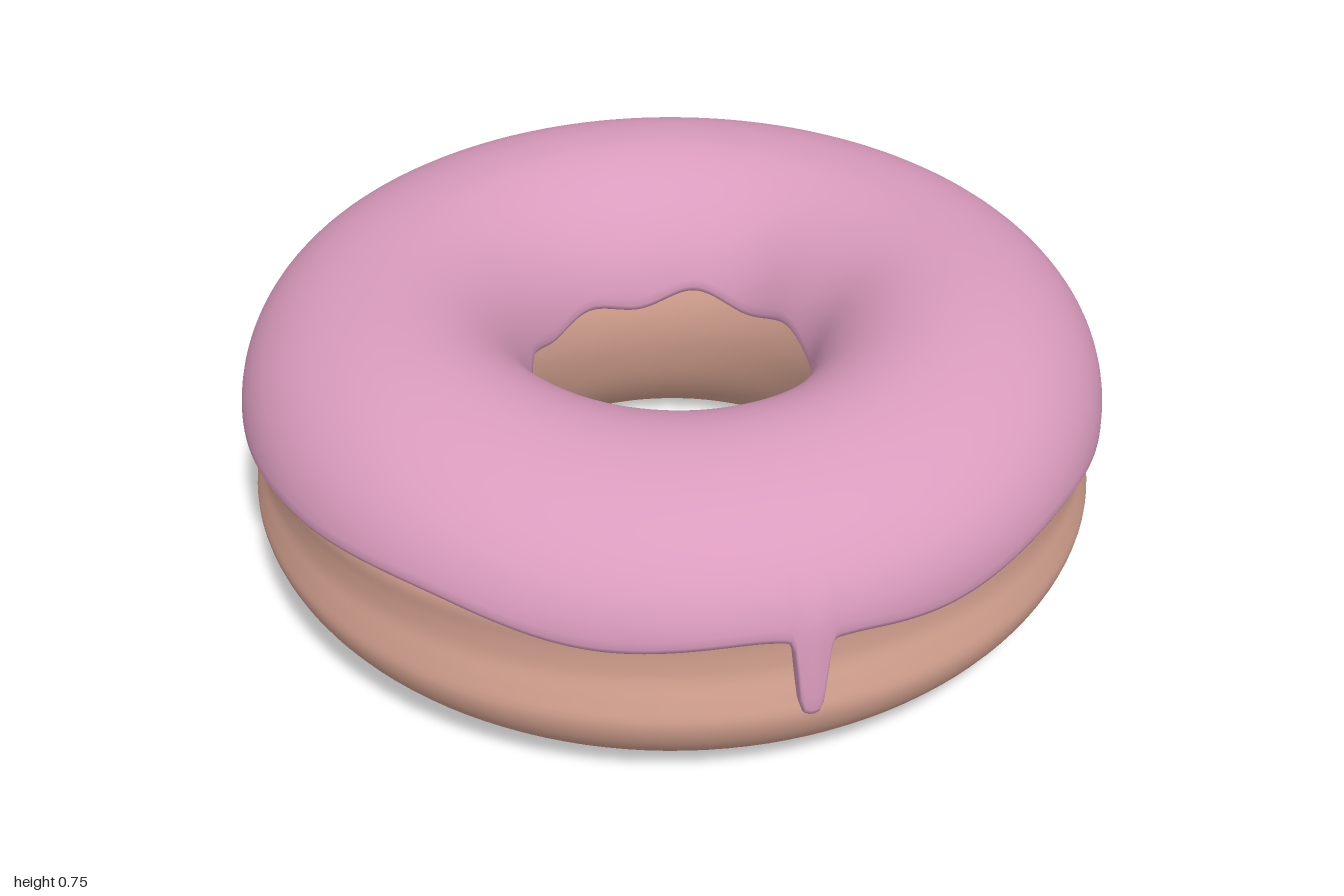
import * as THREE from 'three';

const RAD = Math.PI / 180;
const COLUMNS = 720, ARC = 22;

// Smooth periodic interpolation of evenly spaced values around the ring
function around(values, theta) {
  const n = values.length;
  const f = ((theta / (2 * Math.PI)) % 1 + 1) % 1 * n;
  const i = Math.floor(f), t = f - i;
  const [a, b, c, d] = [-1, 0, 1, 2].map(k => values[(i + k + n) % n]);
  return b + 0.5 * t * (c - a + t * (2 * a - 5 * b + 4 * c - d + t * (3 * (b - c) + d - a)));
}

const CREST = [0.725, 0.728, 0.745, 0.735, 0.73, 0.735, 0.75, 0.752];
const EDGE = [0.425, 0.44, 0.405, 0.44, 0.415, 0.455, 0.44, 0.46,
  0.44, 0.45, 0.43, 0.45, 0.47, 0.44, 0.46, 0.475];
const INNER_EDGE = [0.44, 0.47, 0.43, 0.46, 0.45, 0.42, 0.46, 0.43, 0.47, 0.42, 0.45, 0.43, 0.46, 0.42, 0.45, 0.43];
const HOLE = [0.318, 0.325, 0.332, 0.322, 0.318, 0.33, 0.325, 0.335, 0.328, 0.335, 0.33, 0.322, 0.32, 0.325, 0.332, 0.325];

// Runs of icing: angle, lowest point, half width in radians, extra thickness
const DRIPS = [
  { angle: 26.3 * RAD, tip: 0.24, width: 0.034, bulge: 0.012 },
  { angle: 106 * RAD, tip: 0.34, width: 0.055, bulge: 0.004 },
  { angle: 118.2 * RAD, tip: 0.21, width: 0.044, bulge: 0.012 },
  { angle: 233.6 * RAD, tip: 0.24, width: 0.085, bulge: 0.03 },
];

function icingGeometry() {
  const positions = [], index = [];
  let rows = 0;
  for (let j = 0; j < COLUMNS; j++) {
    const theta = j / COLUMNS * 2 * Math.PI;
    const top = around(CREST, theta);
    const hole = around(HOLE, theta);
    const inner = around(INNER_EDGE, theta);

    // Lower outer edge, pulled down at each drip
    let edge = around(EDGE, theta);
    let drip = DRIPS[0], offset = Infinity;
    for (const d of DRIPS) {
      const o = theta - d.angle;
      if (Math.abs(o) < Math.abs(offset)) { offset = o; drip = d; }
      edge += (d.tip - edge) * Math.exp(-((o / d.width) ** 4));
      edge -= 0.015 * Math.exp(-((o / (2.2 * d.width)) ** 2)) * (1 - Math.exp(-((o / d.width) ** 4)));
    }
    const near = Math.exp(-((offset / drip.width) ** 2));

    const outerRadius = y => {
      const f = THREE.MathUtils.clamp((y - 0.45) / (top - 0.45), 0, 1);
      const low = THREE.MathUtils.smoothstep(0.6 - y, 0, 0.3);
      return 0.64 + 0.355 * Math.sqrt(1 - f * f) + drip.bulge * near * low;
    };
    const innerRadius = y => {
      const f = THREE.MathUtils.clamp((y - 0.42) / (top - 0.42), 0, 1);
      return 0.64 - (0.64 - hole) * Math.sqrt(1 - f * f);
    };

    // Cross-section: outer lip, over the crest, down to the inner lip
    const section = [];
    const ro = outerRadius(edge + 0.02), ri = innerRadius(inner + 0.02);
    section.push([ro - 0.05, edge + 0.012], [ro - 0.02, edge], [ro - 0.006, edge + 0.006]);
    for (let k = 0; k <= ARC; k++) {
      const y = edge + 0.02 + (top - edge - 0.02) * Math.sin(k / ARC * Math.PI / 2);
      section.push([outerRadius(y), y]);
    }
    for (let k = ARC - 1; k >= 0; k--) {
      const y = inner + 0.02 + (top - inner - 0.02) * Math.sin(k / ARC * Math.PI / 2);
      section.push([innerRadius(y), y]);
    }
    section.push([ri + 0.006, inner + 0.006], [ri + 0.02, inner], [ri + 0.06, inner + 0.012]);
    rows = section.length;

    // Drips swell sideways toward their tips
    section.forEach(([r, y], i) => {
      const low = i < rows / 2 ? THREE.MathUtils.clamp((0.4 - y) / (0.4 - drip.tip), 0, 1) : 0;
      const a = theta + (low > 0 ? offset * 0.3 * low * low : 0);
      positions.push(r * Math.sin(a), y, r * Math.cos(a));
    });
  }
  for (let j = 0; j < COLUMNS; j++) {
    const next = (j + 1) % COLUMNS;
    for (let i = 0; i < rows - 1; i++) {
      const a = j * rows + i, b = next * rows + i;
      index.push(a, b, a + 1, b, b + 1, a + 1);
    }
  }
  const geometry = new THREE.BufferGeometry();
  geometry.setAttribute('position', new THREE.Float32BufferAttribute(positions, 3));
  geometry.setIndex(index);
  geometry.computeVertexNormals();
  return geometry;
}

// Ring of dough with a flat base, a slight waist and a flared hole
function doughGeometry() {
  const outline = [
    [0.62, 0], [0.69, 0], [0.78, 0.022], [0.88, 0.075], [0.95, 0.15], [0.978, 0.22],
    [0.972, 0.28], [0.962, 0.34], [0.964, 0.4], [0.97, 0.46], [0.95, 0.52], [0.9, 0.59],
    [0.8, 0.66], [0.64, 0.69], [0.48, 0.64], [0.4, 0.55], [0.365, 0.45], [0.36, 0.35],
    [0.385, 0.24], [0.43, 0.14], [0.5, 0.05], [0.56, 0.012],
  ].map(([r, y]) => new THREE.Vector3(r, y, 0));
  const profile = new THREE.CatmullRomCurve3(outline, true).getPoints(88)
    .map(p => new THREE.Vector2(p.x, Math.max(0, p.y)));
  return new THREE.LatheGeometry(profile, 128);
}

export function createModel() {
  const model = new THREE.Group();
  model.name = 'icedDoughnut';
  const add = (name, geometry, material) => {
    const mesh = new THREE.Mesh(geometry, material);
    mesh.name = name;
    model.add(mesh);
  };
  add('dough', doughGeometry(), new THREE.MeshStandardMaterial({ color: 0xd9a593 }));
  add('icing', icingGeometry(), new THREE.MeshStandardMaterial({ color: 0xdb9cbe, side: THREE.DoubleSide }));
  return model;
}
